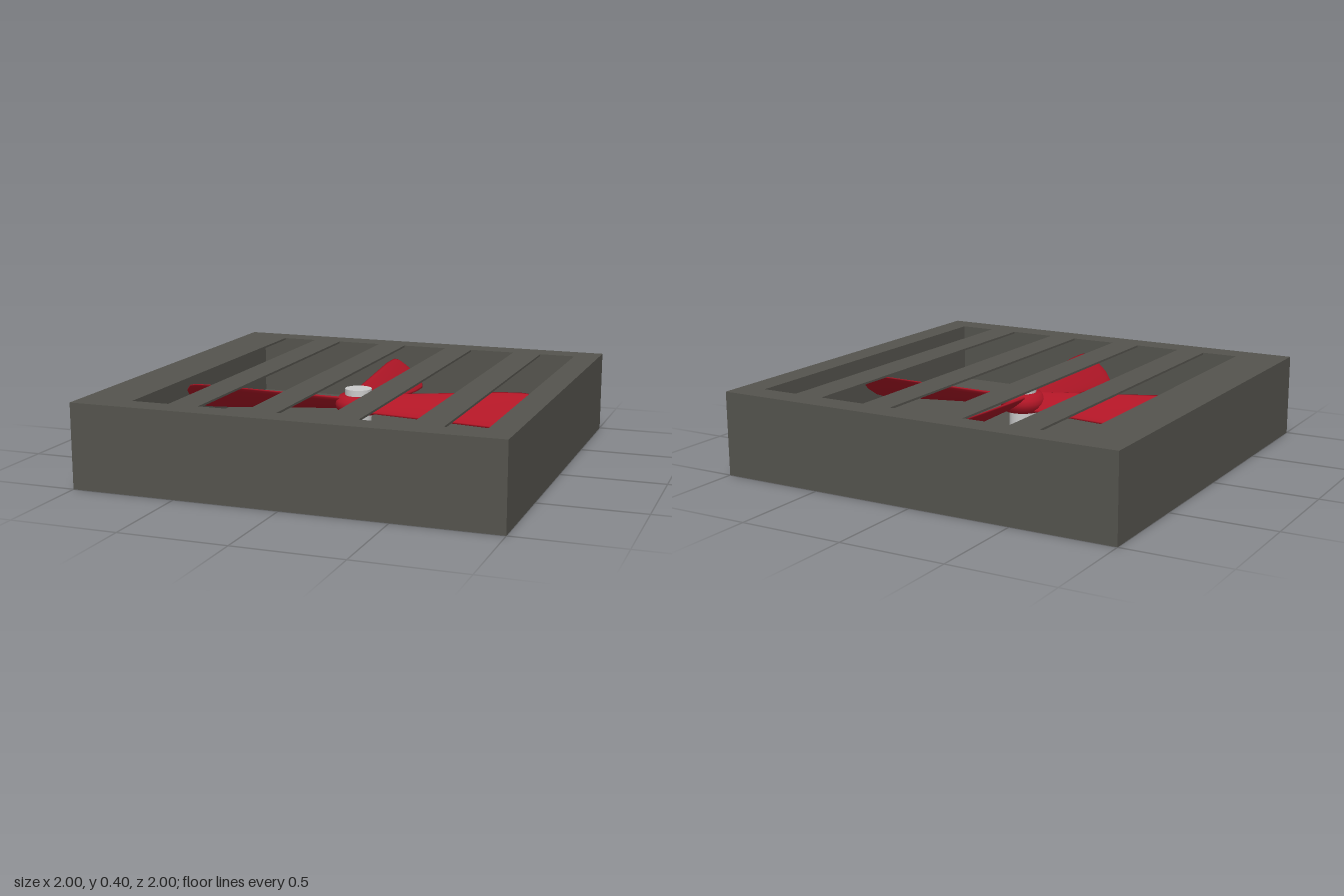
import * as THREE from 'three';

const darkGrey = new THREE.MeshStandardMaterial({ color: 0x55544e });
const red = new THREE.MeshStandardMaterial({ color: 0xb01626 });
const grey = new THREE.MeshStandardMaterial({ color: 0xcccccc });

function add(group, name, geometry, material, y = 0) {
  const mesh = new THREE.Mesh(geometry, material);
  mesh.name = name;
  mesh.position.y = y;
  group.add(mesh);
  return mesh;
}

function trace(path, x0, x1, z) {
  path.moveTo(x0, -z);
  path.lineTo(x1, -z);
  path.lineTo(x1, z);
  path.lineTo(x0, z);
  path.closePath();
  return path;
}

// Horizontal square plate with rectangular openings, standing on y = 0
function plate(openings, height) {
  const shape = trace(new THREE.Shape(), -1, 1, 1);
  for (const [x0, x1] of openings) shape.holes.push(trace(new THREE.Path(), x0, x1, 0.875));
  return new THREE.ExtrudeGeometry(shape, { depth: height, bevelEnabled: false }).rotateX(-Math.PI / 2);
}

// Twisted blade along +x: oval sections lofted from the hub to a rounded tip
function bladeGeometry() {
  const rings = 28, sides = 16, pos = [], index = [];
  for (let i = 0; i <= rings; i++) {
    const t = i / rings;
    const r = 0.06 + 0.81 * t;
    const tip = t > 0.9 ? Math.sqrt(Math.max(0, 1 - ((t - 0.9) / 0.1) ** 2)) * 0.6 + 0.4 : 1;
    const chord = (0.13 + 0.09 * Math.min(1, t * 1.3)) * tip;
    const thick = (0.03 - 0.014 * t) * (i === rings ? 0.2 : 1);
    const pitch = 0.6 + 0.15 * t;
    for (let j = 0; j < sides; j++) {
      const a = (j / sides) * Math.PI * 2;
      const u = Math.cos(a) * chord / 2, v = Math.sin(a) * thick / 2;
      pos.push(r, -u * Math.sin(pitch) + v * Math.cos(pitch), u * Math.cos(pitch) + v * Math.sin(pitch));
      if (i < rings) {
        const p = i * sides + j, q = i * sides + (j + 1) % sides;
        index.push(p, q, p + sides, q, q + sides, p + sides);
      }
    }
  }
  // close the tip
  const last = rings * sides;
  for (let j = 1; j < sides - 1; j++) index.push(last, last + j, last + j + 1);
  const g = new THREE.BufferGeometry();
  g.setAttribute('position', new THREE.Float32BufferAttribute(pos, 3));
  g.setIndex(index);
  g.computeVertexNormals();
  return g;
}

export function createModel() {
  const model = new THREE.Group();
  model.name = 'ventFan';

  // Housing: floor, walls and slotted grille
  const housing = new THREE.Group();
  housing.name = 'housing';
  model.add(housing);
  add(housing, 'floor', new THREE.BoxGeometry(2, 0.1, 2), darkGrey, 0.05);
  add(housing, 'walls', plate([[-0.875, 0.875]], 0.29), darkGrey, 0.1);
  const slots = [[-0.755, -0.575], [-0.43, -0.2], [-0.055, 0.175], [0.32, 0.55], [0.695, 0.875]];
  add(housing, 'grille', plate(slots, 0.01), darkGrey, 0.39);

  // Fan: axle, rounded hub and four blades
  const fan = new THREE.Group();
  fan.name = 'fan';
  model.add(fan);
  add(fan, 'axle', new THREE.CylinderGeometry(0.065, 0.065, 0.24, 32), grey, 0.22);
  const hub = new THREE.LatheGeometry([
    [0.06, -0.05], [0.09, -0.045], [0.108, -0.02], [0.112, 0], [0.108, 0.02], [0.09, 0.042], [0.06, 0.045]
  ].map(([x, y]) => new THREE.Vector2(x, y)), 40);
  add(fan, 'hub', hub, red, 0.265);
  const geometry = bladeGeometry();
  const bladeMaterial = red.clone();
  bladeMaterial.side = THREE.DoubleSide;
  [0.12, Math.PI / 2 + 0.01, Math.PI + 0.11, Math.PI * 1.5 + 0.01].forEach((angle) => {
    add(fan, 'blade', geometry, bladeMaterial, 0.265).rotation.y = angle;
  });
  return model;
}
